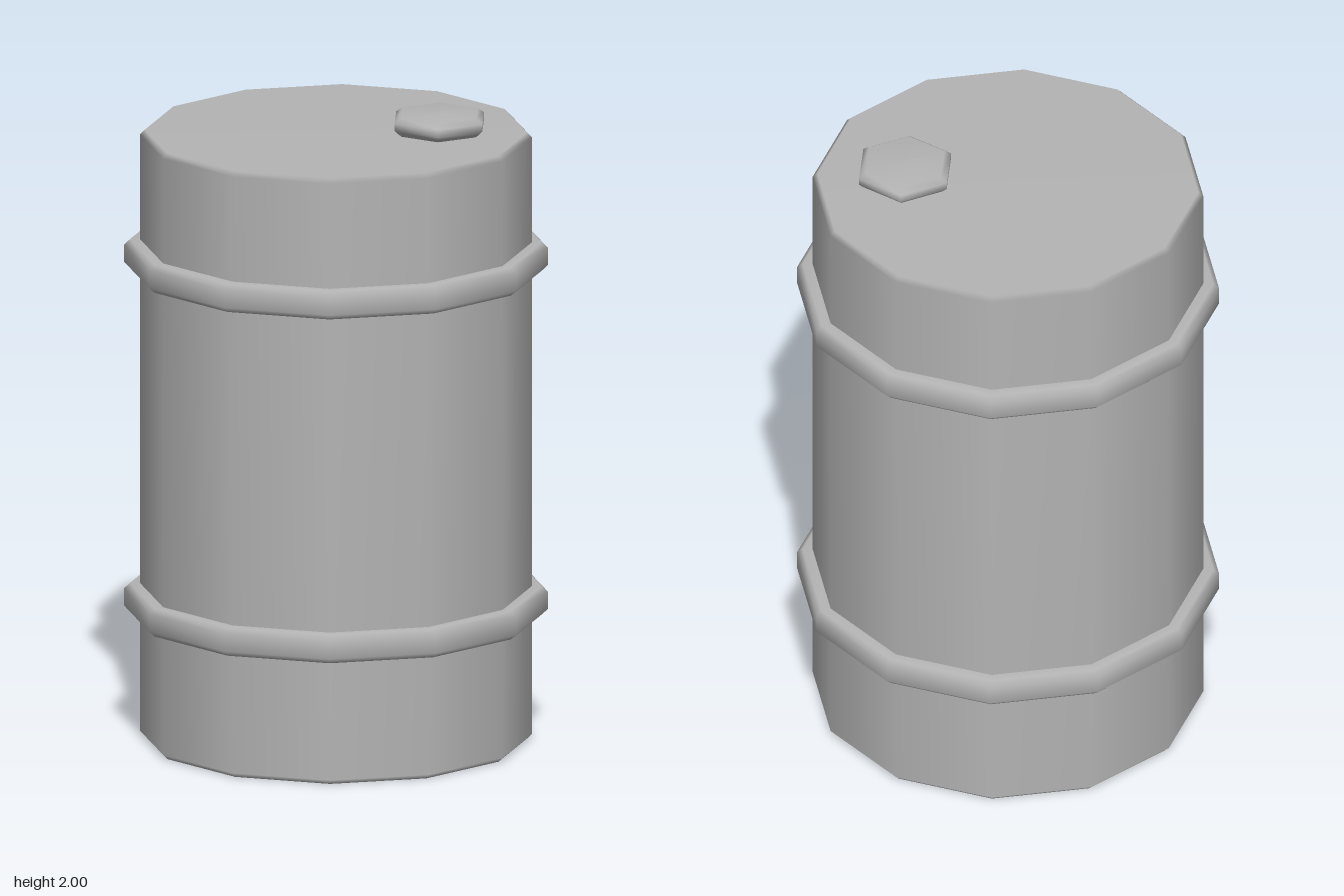
import * as THREE from 'three';

export function createModel() {
  const model = new THREE.Group();
  model.name = 'barrel';
  const steel = new THREE.MeshStandardMaterial({ color: 0xb4b4b4 });
  steel.name = 'grey steel';

  // Turned part: profile of [radius, height] from bottom to top
  const turn = (name, profile, sides) => {
    const points = profile.map(([r, y]) => new THREE.Vector2(r, y));
    const mesh = new THREE.Mesh(new THREE.LatheGeometry(points, sides), steel);
    mesh.name = name;
    model.add(mesh);
    return mesh;
  };

  // Twelve-sided drum with narrow bevelled rims
  turn('drumBody', [
    [0, 0], [0.592, 0], [0.607, 0.015],
    [0.607, 1.92], [0.592, 1.935], [0, 1.935],
  ], 12);

  // Rolling hoops around the drum
  const hoopProfile = [
    [0.59, -0.045], [0.638, -0.045], [0.656, -0.028],
    [0.656, 0.028], [0.638, 0.045], [0.59, 0.045],
  ];
  [['lowerHoop', 0.442], ['upperHoop', 1.54]].forEach(([name, y]) => {
    turn(name, hoopProfile, 12).position.y = y;
  });

  // Six-sided filler plug, off centre on the lid
  turn('fillerPlug', [
    [0.125, 1.93], [0.145, 1.945], [0.157, 1.957],
    [0.157, 1.98], [0.135, 1.995], [0, 2],
  ], 6).position.x = 0.32;

  return model;
}
